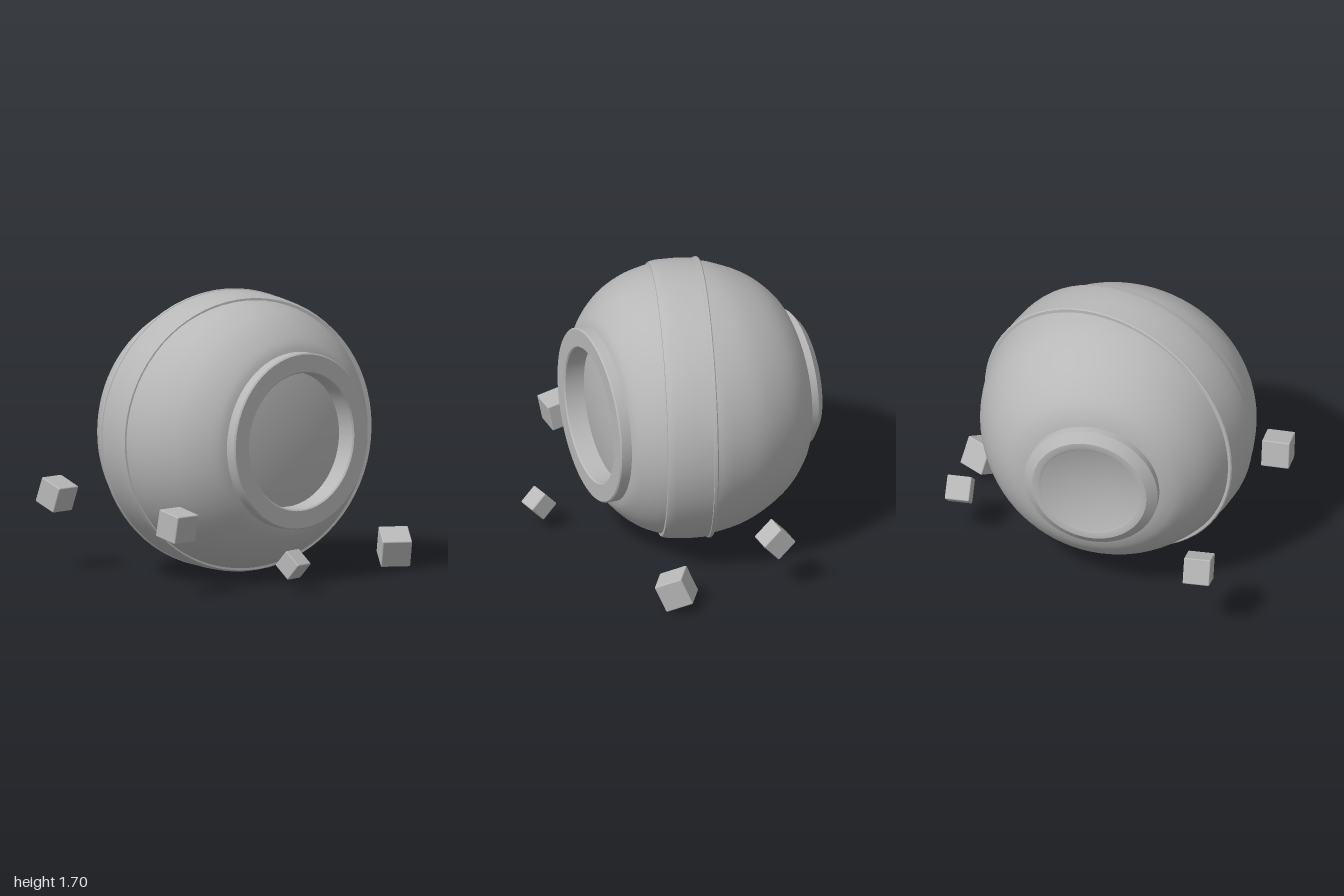
import * as THREE from 'three';
import { toCreasedNormals } from 'three/addons/utils/BufferGeometryUtils.js';
import { RoundedBoxGeometry } from 'three/addons/geometries/RoundedBoxGeometry.js';

const grey = new THREE.MeshStandardMaterial({ color: 0xb8b8b8 });
grey.name = 'grey';

// Turn a [z, radius] profile, listed from back to front, around the z axis
function turned(name, profile, crease) {
  const points = profile.map(([z, r]) => new THREE.Vector2(r, z));
  let geometry = new THREE.LatheGeometry(points, 72).rotateX(Math.PI / 2);
  if (crease) geometry = toCreasedNormals(geometry, crease);
  const mesh = new THREE.Mesh(geometry, grey);
  mesh.name = name;
  return mesh;
}

export function createModel() {
  const model = new THREE.Group();
  model.name = 'ballAndCubes';

  const ball = new THREE.Group();
  ball.name = 'ball';
  ball.position.set(-0.045, 0.865, 0);
  model.add(ball);

  // Nearly spherical shell with flattened ends
  const outline = new THREE.SplineCurve([
    [-0.66, 0.4], [-0.642, 0.465], [-0.6, 0.545], [-0.5, 0.65], [-0.37, 0.732], [-0.2, 0.799],
    [0, 0.825], [0.1, 0.818], [0.22, 0.794], [0.34, 0.742], [0.42, 0.685], [0.48, 0.625],
    [0.52, 0.57], [0.54, 0.515],
  ].map(([z, r]) => new THREE.Vector2(z, r)));
  ball.add(turned('shell', outline.getPoints(48).map((p) => [p.x, p.y])));

  // Front ring with its inner wall
  ball.add(turned('frontRing', [
    [0.52, 0.53], [0.597, 0.53], [0.605, 0.522], [0.605, 0.418], [0.597, 0.41], [0.47, 0.405],
  ], 0.5));

  // Gently domed lens set back in the ring
  const lens = [];
  for (let i = 0; i <= 12; i++) {
    const r = 0.412 * (1 - i / 12);
    lens.push([0.515 - 0.035 * (r / 0.412) ** 2, r]);
  }
  ball.add(turned('lens', lens));

  // Back collar with a bevelled rim around a shallow dish
  const dish = [];
  for (let i = 0; i <= 10; i++) {
    const r = 0.3 * i / 10;
    dish.push([-0.7 - 0.045 * (r / 0.3) ** 2, r]);
  }
  ball.add(turned('backDish', dish));
  ball.add(turned('backCollar', [
    [-0.745, 0.3], [-0.75, 0.31], [-0.75, 0.35], [-0.705, 0.408], [-0.64, 0.408],
  ], 0.5));

  // Slanted belt, with a raised lip at the back and a soft front edge
  const belt = turned('belt', [
    [-0.138, 0.79], [-0.138, 0.832], [-0.132, 0.838], [-0.115, 0.838], [-0.112, 0.832],
    [0, 0.836], [0.115, 0.831], [0.15, 0.824], [0.162, 0.818], [0.164, 0.78],
  ], 0.4);
  belt.rotation.y = -0.265;
  belt.position.z = 0.015;
  ball.add(belt);

  // Loose cubes around the ball: position, edge, pitch, yaw
  const cubes = [
    [[0.87, 0.122, 0.4], 0.178, 0.43, -0.55],
    [[0.87, 0.333, -0.23], 0.148, 0.73, 0.05],
    [[-0.912, 0.428, 0.47], 0.17, 0.2, 0.03],
    [[-0.732, 0.46, -0.82], 0.162, 0.36, 0.06],
    [[-0.305, 0.175, 0.825], 0.126, 0.73, 0.2],
  ];
  cubes.forEach(([position, edge, pitch, yaw], i) => {
    const cube = new THREE.Mesh(new RoundedBoxGeometry(edge, edge, edge, 2, 0.008), grey);
    cube.name = `cube${i + 1}`;
    cube.position.set(...position);
    cube.rotation.set(pitch, yaw, 0, 'YXZ');
    model.add(cube);
  });

  return model;
}
